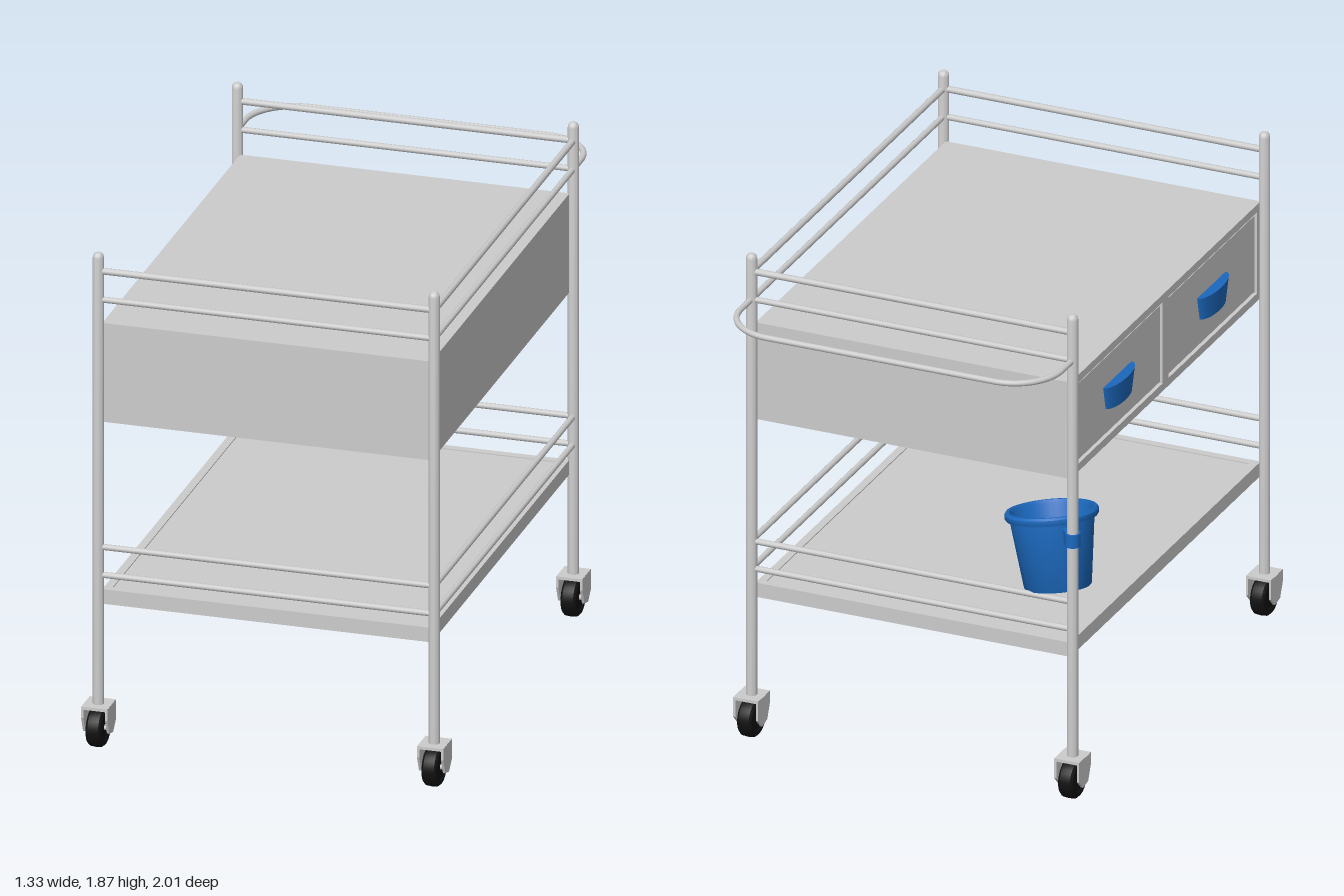
import * as THREE from 'three';
import { toCreasedNormals } from 'three/addons/utils/BufferGeometryUtils.js';

const grey = new THREE.MeshStandardMaterial({ color: 0xcccccc });
const blue = new THREE.MeshStandardMaterial({ color: 0x1b68bd });
const black = new THREE.MeshStandardMaterial({ color: 0x111111 });

const PX = 0.618, ZF = 0.932, ZB = -0.717;   // post positions
const BX = 0.606, BZ0 = -0.71, BZ1 = 0.925;  // box and shelf footprint

function add(parent, name, geo, mat = grey, x = 0, y = 0, z = 0) {
  const m = new THREE.Mesh(geo, mat);
  m.name = name;
  m.position.set(x, y, z);
  parent.add(m);
  return m;
}

// box given by its min and max corners
function block(parent, name, a, b, mat) {
  const s = a.map((v, i) => b[i] - v), c = a.map((v, i) => (b[i] + v) / 2);
  return add(parent, name, new THREE.BoxGeometry(...s), mat, ...c);
}

// round bar between two points
function bar(parent, name, a, b, r) {
  const curve = new THREE.LineCurve3(new THREE.Vector3(...a), new THREE.Vector3(...b));
  return add(parent, name, new THREE.TubeGeometry(curve, 1, r, 12));
}

const poly = pts => new THREE.Shape(pts.map(p => new THREE.Vector2(...p)));
const rect = (x0, y0, x1, y1) => poly([[x0, y0], [x1, y0], [x1, y1], [x0, y1]]);

// outline in the z-y plane, thickened towards -x
function sidePlate(shape, depth) {
  return new THREE.ExtrudeGeometry(shape, { depth, bevelEnabled: false }).rotateY(-Math.PI / 2);
}

function lathe(pts, seg) {
  const g = new THREE.LatheGeometry(pts.map(p => new THREE.Vector2(...p)), seg);
  return toCreasedNormals(g, 0.6);
}

function caster(x, z) {
  const g = new THREE.Group();
  g.name = 'caster';
  g.position.set(x, 0, z);
  // tyre with rounded shoulders
  const tyre = lathe([[0, -0.024], [0.045, -0.024], [0.05, -0.028], [0.063, -0.028], [0.071, -0.02],
    [0.073, 0], [0.071, 0.02], [0.063, 0.028], [0.05, 0.028], [0.045, 0.024], [0, 0.024]], 32);
  add(g, 'wheel', tyre.rotateZ(Math.PI / 2), black, 0, 0.073, 0);
  // fork: two tapered cheeks under a top plate
  const cheek = poly([[-0.052, 0.16], [-0.052, 0.085], [-0.018, 0.05], [0.026, 0.06], [0.05, 0.118], [0.05, 0.16]]);
  for (const s of [-1, 1]) add(g, 'forkCheek', sidePlate(cheek, 0.009), grey, s * 0.044 + 0.0045);
  block(g, 'forkTop', [-0.048, 0.15, -0.052], [0.048, 0.161, 0.05]);
  const axle = new THREE.CylinderGeometry(0.011, 0.011, 0.09, 12).rotateZ(Math.PI / 2);
  add(g, 'axle', axle, grey, 0, 0.073, 0);
  return g;
}

function bucket() {
  const g = new THREE.Group();
  g.name = 'bucket';
  g.position.set(-0.517, 0.755, -0.617);
  g.quaternion.setFromUnitVectors(new THREE.Vector3(0, 1, 0), new THREE.Vector3(0.047, 0.272, 0.047).normalize());
  // outer wall, rolled lip, inner wall
  add(g, 'bucketShell', lathe([[0, 0], [0.116, 0], [0.12, 0.006], [0.15, 0.248], [0.162, 0.25], [0.167, 0.258],
    [0.167, 0.272], [0.161, 0.28], [0.15, 0.28], [0.144, 0.268], [0.114, 0.012], [0, 0.012]], 40), blue);
  return g;
}

export function createModel() {
  const cart = new THREE.Group();
  cart.name = 'utilityCart';

  // posts with domed tops, each on a caster
  for (const x of [-PX, PX]) for (const z of [ZB, ZF]) {
    add(cart, 'post', lathe([[0, 0.155], [0.02, 0.155], [0.02, 1.853], [0.0185, 1.862], [0.014, 1.869],
      [0.007, 1.873], [0, 1.874]], 20), grey, x, 0, z);
    cart.add(caster(x, z));
  }

  // guard rails on the front, back and left sides
  for (const [y, r] of [[1.803, 0.012], [1.695, 0.011], [0.756, 0.011], [0.65, 0.011]]) {
    for (const z of [ZB, ZF]) bar(cart, 'endRail', [-PX, y, z], [PX, y, z], r);
    bar(cart, 'sideRail', [PX, y, ZB], [PX, y, ZF], r);
  }

  // push handle: a rounded loop behind the back posts
  const loop = new THREE.CurvePath(), R = 0.18, zEnd = -0.989;
  const v = (x, z) => new THREE.Vector3(x, 1.695, z);
  const k = R * 0.448;
  loop.add(new THREE.LineCurve3(v(-PX, ZB), v(-PX, zEnd + R)));
  loop.add(new THREE.CubicBezierCurve3(v(-PX, zEnd + R), v(-PX, zEnd + k), v(-PX + k, zEnd), v(-PX + R, zEnd)));
  loop.add(new THREE.LineCurve3(v(-PX + R, zEnd), v(PX - R, zEnd)));
  loop.add(new THREE.CubicBezierCurve3(v(PX - R, zEnd), v(PX - k, zEnd), v(PX, zEnd + k), v(PX, zEnd + R)));
  loop.add(new THREE.LineCurve3(v(PX, zEnd + R), v(PX, ZB)));
  add(cart, 'pushHandle', new THREE.TubeGeometry(loop, 90, 0.011, 12));

  // drawer cabinet with a framed opening side
  const y0 = 1.228, y1 = 1.603, mid = (BZ0 + BZ1) / 2;
  block(cart, 'cabinet', [-BX + 0.018, y0, BZ0], [BX, y1, BZ1]);
  const frame = rect(BZ0, y0, BZ1, y1);
  const bays = [[BZ0 + 0.03, mid - 0.025], [mid + 0.025, BZ1 - 0.03]];
  for (const [a, b] of bays) frame.holes.push(rect(a, y0 + 0.03, b, y1 - 0.03));
  add(cart, 'drawerFrame', sidePlate(frame, 0.018), grey, -BX + 0.018);

  // drawer fronts with cup pulls
  for (const [a, b] of bays) {
    block(cart, 'drawerFront', [-BX + 0.006, y0 + 0.04, a + 0.01], [-BX + 0.02, y1 - 0.04, b - 0.01]);
    const pull = new THREE.CylinderGeometry(0.122, 0.1, 0.09, 32).scale(0.31, 1, 1);
    add(cart, 'drawerPull', pull, blue, -BX + 0.004, 1.408, (a + b) / 2 + (a < 0 ? 0.005 : 0));
  }

  // lower shelf: plate held in a rectangular rim
  const rim = rect(-BX, -BZ1, BX, -BZ0);
  rim.holes.push(rect(-BX + 0.03, -BZ1 + 0.03, BX - 0.03, -BZ0 - 0.03));
  const rimGeo = new THREE.ExtrudeGeometry(rim, { depth: 0.055, bevelEnabled: false }).rotateX(-Math.PI / 2);
  add(cart, 'shelfRim', rimGeo, grey, 0, 0.537, 0);
  block(cart, 'shelfPlate', [-BX + 0.02, 0.568, BZ0 + 0.02], [BX - 0.02, 0.588, BZ1 - 0.02]);

  // bucket clamped inside the back corner post
  cart.add(bucket());
  add(cart, 'bucketClamp', new THREE.CylinderGeometry(0.028, 0.028, 0.05, 20), blue, -PX, 1.0, ZB);
  const arm = add(cart, 'clampArm', new THREE.BoxGeometry(0.035, 0.04, 0.07), blue, -PX + 0.027, 1.0, ZB + 0.027);
  arm.rotation.y = Math.PI / 4;

  return cart;
}
